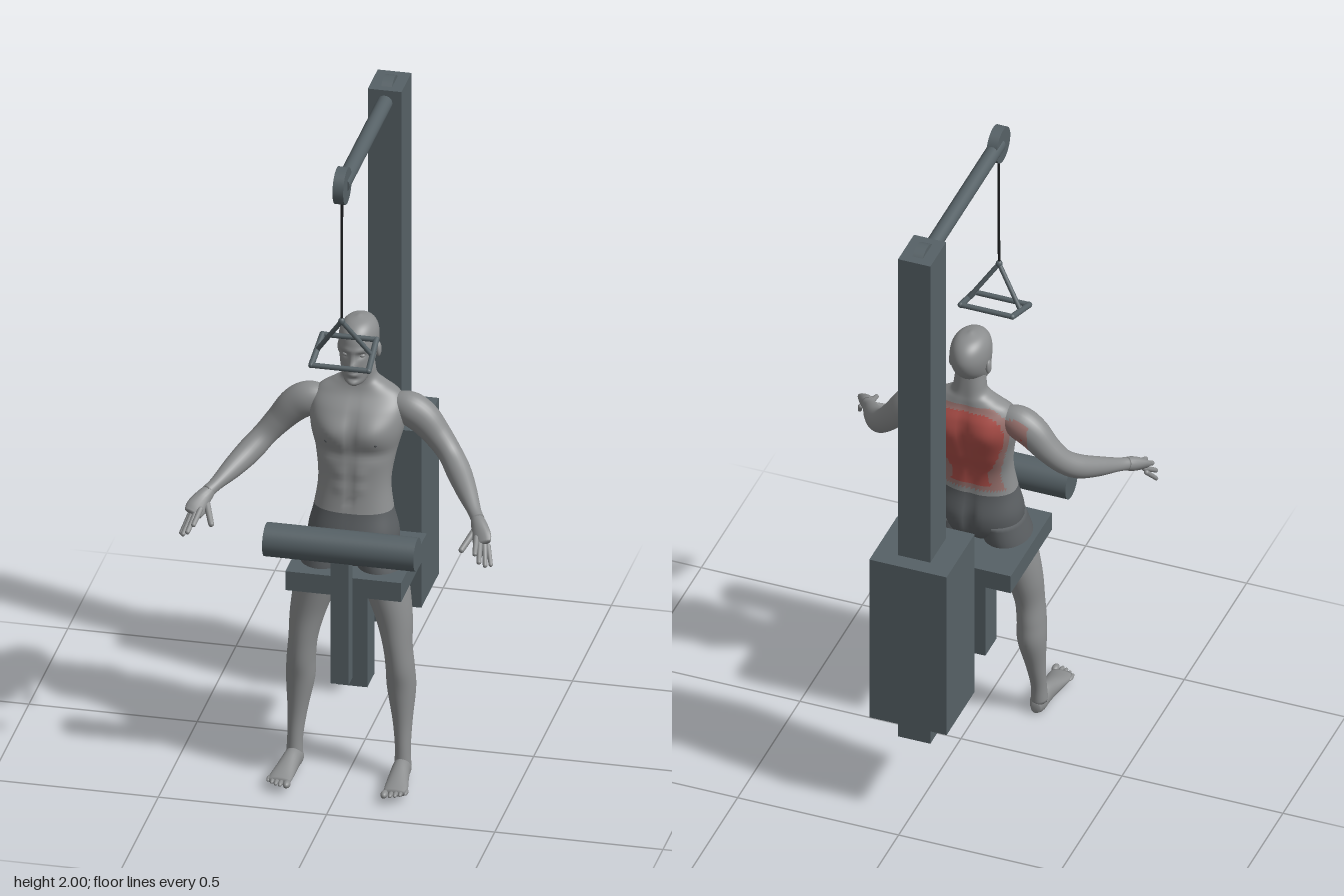
import * as THREE from 'three';

const V = (x, y, z) => new THREE.Vector3(x, y, z);
const material = (name, color) => {
  const m = new THREE.MeshStandardMaterial({ color });
  m.name = name;
  return m;
};

export function createModel() {
  const model = new THREE.Group();
  const steel = material('machine steel', 0x566166);
  const skin = material('grey skin', 0x8c8e8f);
  const shorts = material('dark shorts', 0x5b5f62);
  const red = material('red muscle', 0xb0504a);
  const blend = material('muscle edge', 0x9c7470);
  const black = material('black cable', 0x1c1e20);
  const bodyMats = [skin, shorts, red, blend];

  const add = (parent, name, geometry, mat, x = 0, y = 0, z = 0) => {
    const mesh = new THREE.Mesh(geometry, mat);
    mesh.name = name;
    mesh.position.set(x, y, z);
    parent.add(mesh);
    return mesh;
  };
  const group = (name) => {
    const g = new THREE.Group();
    g.name = name;
    model.add(g);
    return g;
  };
  // box given by its extents
  const box = (parent, name, [x0, x1], [y0, y1], [z0, z1]) =>
    add(parent, name, new THREE.BoxGeometry(x1 - x0, y1 - y0, z1 - z0), steel,
      (x0 + x1) / 2, (y0 + y1) / 2, (z0 + z1) / 2);
  // round bar between two points
  const bar = (parent, name, a, b, r, mat, r2 = r, sides = 16) => {
    const d = b.clone().sub(a);
    const m = add(parent, name, new THREE.CylinderGeometry(r2, r, d.length(), sides), mat);
    m.position.copy(a).addScaledVector(d, 0.5);
    m.quaternion.setFromUnitVectors(V(0, 1, 0), d.normalize());
    return m;
  };
  const ball = (parent, name, mat, p, sx, sy, sz) =>
    add(parent, name, new THREE.SphereGeometry(1, 16, 12), mat, p.x, p.y, p.z).scale.set(sx, sy, sz);

  // Smooth loft through sections [x, y, z, halfWidth, halfDepth]
  function loft(parent, name, sections, { rings = 32, sides = 28, axis = null, ref = V(0, 0, 1),
    power = 1, warp = null, paint = () => 0 } = {}) {
    const path = new THREE.CatmullRomCurve3(sections.map(s => V(s[0], s[1], s[2])), false, 'catmullrom', 0.5);
    const size = new THREE.CatmullRomCurve3(sections.map(s => V(s[3], s[4], 0)), false, 'catmullrom', 0.5);
    const pts = [];
    const pw = c => Math.sign(c) * Math.abs(c) ** power;
    for (let i = 0; i <= rings; i++) {
      const t = i / rings, c = path.getPoint(t), r = size.getPoint(t);
      const T = axis || path.getTangent(t);
      const u = T.clone().cross(ref).normalize(), w = u.clone().cross(T);
      for (let j = 0; j < sides; j++) {
        const a = j / sides * Math.PI * 2;
        const p = c.clone().addScaledVector(u, r.x * pw(Math.cos(a))).addScaledVector(w, r.y * pw(Math.sin(a)));
        if (warp) warp(p, c);
        pts.push(p);
      }
    }
    const ends = [0, 1].map(t => pts.push(path.getPoint(t)) - 1);
    const faces = bodyMats.map(() => []);
    const tri = (...f) => {
      const mid = V(0, 0, 0);
      f.forEach(k => mid.addScaledVector(pts[k], 1 / 3));
      faces[paint(mid)].push(...f);
    };
    for (let j = 0; j < sides; j++) {
      const k = (j + 1) % sides, top = rings * sides;
      for (let i = 0; i < rings; i++) {
        const o = i * sides, n = o + sides;
        tri(o + j, n + j, o + k);
        tri(o + k, n + j, n + k);
      }
      tri(ends[0], j, k);
      tri(ends[1], top + k, top + j);
    }
    const g = new THREE.BufferGeometry().setFromPoints(pts);
    g.setIndex(faces.flat());
    let start = 0;
    faces.forEach((f, i) => { if (f.length) g.addGroup(start, f.length, i); start += f.length; });
    g.computeVertexNormals();
    return add(parent, name, g, bodyMats);
  }

  // ---- Machine ----
  const machine = group('pulldownMachine');
  box(machine, 'column', [-0.05, 0.05], [0.26, 1.985], [-0.375, -0.248]);
  box(machine, 'weightHousing', [-0.12, 0.12], [0.345, 0.915], [-0.425, -0.2]);
  box(machine, 'seat', [-0.172, 0.172], [0.607, 0.668], [-0.045, 0.285]);
  box(machine, 'seatPost', [-0.045, 0.045], [0.26, 0.61], [0.08, 0.17]);
  box(machine, 'padPost', [-0.027, 0.027], [0.345, 0.76], [0.285, 0.333]);
  bar(machine, 'thighPad', V(-0.225, 0.777, 0.306), V(0.225, 0.777, 0.306), 0.05, steel, 0.05, 40);
  bar(machine, 'boom', V(0, 1.945, -0.26), V(0, 1.945, 0.3), 0.023, steel, 0.023, 24);
  for (const z of [-0.31, 0.3])
    bar(machine, 'pulley', V(-0.016, 1.945, z), V(0.016, 1.945, z), 0.055, steel, 0.055, 36);
  bar(machine, 'cable', V(0, 1.93, 0.301), V(0, 1.505, 0.306), 0.004, black, 0.004, 8);

  // ---- Handle: tilted rectangle hung from two straps ----
  const handle = group('handle');
  const corner = (s, f) => f ? V(s * 0.085, 1.367, 0.328) : V(s * 0.08, 1.408, 0.205);
  for (const s of [-1, 1]) {
    bar(handle, 'handleGrip', corner(s, 0), corner(s, 1), 0.009, steel);
    bar(handle, 'handleStrap', V(0, 1.508, 0.306), V(s * 0.08, 1.39, 0.268), 0.007, steel);
  }
  for (const f of [0, 1]) {
    bar(handle, 'handleBar', corner(-1, f), corner(1, f), 0.008, steel);
    for (const s of [-1, 1]) ball(handle, 'handleCorner', steel, corner(s, f), 0.009, 0.009, 0.009);
  }
  ball(handle, 'handleEye', steel, V(0, 1.508, 0.306), 0.01, 0.012, 0.01);

  // ---- Figure ----
  const figure = group('figure');
  const up = V(0, 1, 0);
  const bump = (p, x, y, rx, ry) => Math.exp(-(((p.x - x) / rx) ** 2) - ((p.y - y) / ry) ** 2);
  // back muscle area with a softer rim, shorts below the waist
  const paintBody = (p) => {
    if (p.y < 0.842) return p.y > 0.63 ? 1 : 0;
    const d = Math.min(0.035 + (1.17 - p.y) * 0.2 - p.z, 1.185 - p.y, p.y - 0.865, 0.185 - Math.abs(p.x));
    return d > 0.012 ? 2 : d > -0.006 ? 3 : 0;
  };

  loft(figure, 'torso', [
    [0, 0.66, 0.15, 0.05, 0.05], [0, 0.70, 0.15, 0.12, 0.085], [0, 0.76, 0.147, 0.134, 0.092],
    [0, 0.84, 0.145, 0.117, 0.073], [0, 0.92, 0.135, 0.107, 0.069], [0, 1.0, 0.115, 0.117, 0.084],
    [0, 1.08, 0.1, 0.137, 0.096], [0, 1.14, 0.086, 0.14, 0.08], [0, 1.18, 0.075, 0.12, 0.054],
    [0, 1.205, 0.071, 0.08, 0.045], [0, 1.225, 0.072, 0.053, 0.042], [0, 1.26, 0.076, 0.046, 0.042],
    [0, 1.32, 0.08, 0.04, 0.04],
  ], {
    rings: 84, sides: 64, axis: up, power: 0.88, paint: paintBody,
    warp: (p, c) => {
      const x = Math.abs(p.x);
      const side = { x, y: p.y };
      if (p.z > c.z + 0.02) { // chest, breastbone, ribs and abdomen
        p.z += 0.012 * bump(side, 0.06, 1.09, 0.045, 0.04) - 0.007 * bump(side, 0, 1.08, 0.012, 0.07)
          - 0.008 * bump(side, 0.06, 1.02, 0.06, 0.02) - 0.004 * bump(side, 0, 0.93, 0.008, 0.08)
          - 0.006 * bump(side, 0, 0.872, 0.009, 0.009) + 0.004 * bump(side, 0.03, 0.96, 0.018, 0.016)
          + 0.004 * bump(side, 0.03, 0.915, 0.018, 0.016);
      } else if (p.z < c.z - 0.02) { // spine groove, shoulder blades, buttocks
        p.z += 0.014 * bump(side, 0, 1.03, 0.018, 0.14) - 0.01 * bump(side, 0.075, 1.11, 0.04, 0.05)
          + 0.014 * bump(side, 0, 0.74, 0.014, 0.07);
      }
    },
  });

  loft(figure, 'head', [
    [0, 1.224, 0.135, 0.012, 0.02], [0, 1.238, 0.126, 0.032, 0.042], [0, 1.27, 0.106, 0.046, 0.06],
    [0, 1.31, 0.088, 0.054, 0.079], [0, 1.35, 0.081, 0.058, 0.086], [0, 1.385, 0.08, 0.053, 0.076],
    [0, 1.408, 0.08, 0.036, 0.05], [0, 1.42, 0.08, 0.004, 0.005],
  ], {
    rings: 60, sides: 56, axis: up,
    warp: (p, c) => {
      if (p.z < c.z + 0.02) return;
      const q = { x: Math.abs(p.x), y: p.y };
      p.z += 0.02 * bump(q, 0, 1.294, 0.011, 0.012) + 0.009 * bump(q, 0, 1.312, 0.008, 0.02)
        - 0.009 * bump(q, 0.024, 1.324, 0.013, 0.009) + 0.004 * bump(q, 0.02, 1.342, 0.022, 0.008)
        + 0.007 * bump(q, 0, 1.266, 0.018, 0.006) - 0.004 * bump(q, 0, 1.251, 0.02, 0.005)
        + 0.005 * bump(q, 0, 1.237, 0.016, 0.009);
    },
  });

  for (const s of [-1, 1]) {
    const m = list => list.map(([x, ...rest]) => [s * x, ...rest]);
    const P = (x, y, z) => V(s * x, y, z);
    ball(figure, 'ear', skin, P(0.057, 1.312, 0.075), 0.008, 0.023, 0.014);
    ball(figure, 'eye', skin, P(0.024, 1.323, 0.148), 0.01, 0.006, 0.008);
    ball(figure, 'nipple', shorts, P(0.073, 1.056, 0.188), 0.006, 0.006, 0.005);

    loft(figure, 'arm', m([
      [0.09, 1.145, 0.078, 0.03, 0.03], [0.145, 1.135, 0.08, 0.05, 0.046], [0.19, 1.108, 0.081, 0.05, 0.046],
      [0.235, 1.058, 0.085, 0.041, 0.041], [0.275, 1.012, 0.102, 0.036, 0.036], [0.31, 0.975, 0.14, 0.037, 0.035],
      [0.348, 0.943, 0.2, 0.031, 0.029], [0.384, 0.916, 0.262, 0.02, 0.021], [0.402, 0.903, 0.292, 0.02, 0.019],
    ]), { rings: 48, paint: paintBody });
    loft(figure, 'palm', m([
      [0.396, 0.907, 0.283, 0.018, 0.018], [0.41, 0.893, 0.31, 0.025, 0.021],
      [0.424, 0.873, 0.34, 0.031, 0.016], [0.431, 0.86, 0.358, 0.026, 0.01],
    ]), { rings: 12, sides: 20, ref: V(0, 0, 1) });

    // fingers and thumb: [knuckle, tip, radius]
    for (const [a, b, r] of [
      [[0.41, 0.873, 0.348], [0.418, 0.848, 0.402], 0.0085], [[0.422, 0.864, 0.352], [0.433, 0.829, 0.414], 0.0088],
      [[0.435, 0.855, 0.35], [0.449, 0.815, 0.403], 0.0085], [[0.444, 0.848, 0.342], [0.46, 0.806, 0.378], 0.0075],
      [[0.403, 0.888, 0.308], [0.372, 0.842, 0.374], 0.0105]]) {
      const A = P(...a), B = P(...b);
      bar(figure, 'finger', A, B, r, skin, r * 0.82, 12);
      ball(figure, 'knuckle', skin, A, r, r, r);
      ball(figure, 'fingertip', skin, B, r * 0.82, r * 0.82, r * 0.82);
    }

    loft(figure, 'leg', m([
      [0.15, 0.75, 0.15, 0.01, 0.02], [0.071, 0.735, 0.15, 0.066, 0.085], [0.086, 0.66, 0.16, 0.071, 0.09],
      [0.108, 0.58, 0.17, 0.064, 0.076], [0.128, 0.5, 0.18, 0.053, 0.062], [0.14, 0.42, 0.19, 0.043, 0.053],
      [0.147, 0.35, 0.188, 0.042, 0.053], [0.15, 0.28, 0.183, 0.042, 0.049], [0.156, 0.18, 0.196, 0.029, 0.033],
      [0.16, 0.1, 0.21, 0.023, 0.026], [0.161, 0.04, 0.215, 0.025, 0.028],
    ].slice(1)), { rings: 56, axis: V(0, -1, 0), paint: paintBody });
    loft(figure, 'foot', m([
      [0.159, 0.026, 0.186, 0.014, 0.016], [0.16, 0.035, 0.205, 0.025, 0.031], [0.162, 0.04, 0.245, 0.027, 0.034],
      [0.166, 0.036, 0.295, 0.031, 0.025], [0.171, 0.031, 0.345, 0.035, 0.015], [0.172, 0.03, 0.372, 0.033, 0.01],
    ]), { rings: 24, axis: V(0, 0, 1), ref: up });
    for (let i = 0; i < 5; i++) {
      const r = i ? 0.0075 - i * 0.0003 : 0.011;
      ball(figure, 'toe', skin, P(0.145 + (i ? 0.005 : 0) + i * 0.0135, 0.03, 0.385 - i * i * 0.0016), r, r, 0.018);
    }
  }
  return model;
}
